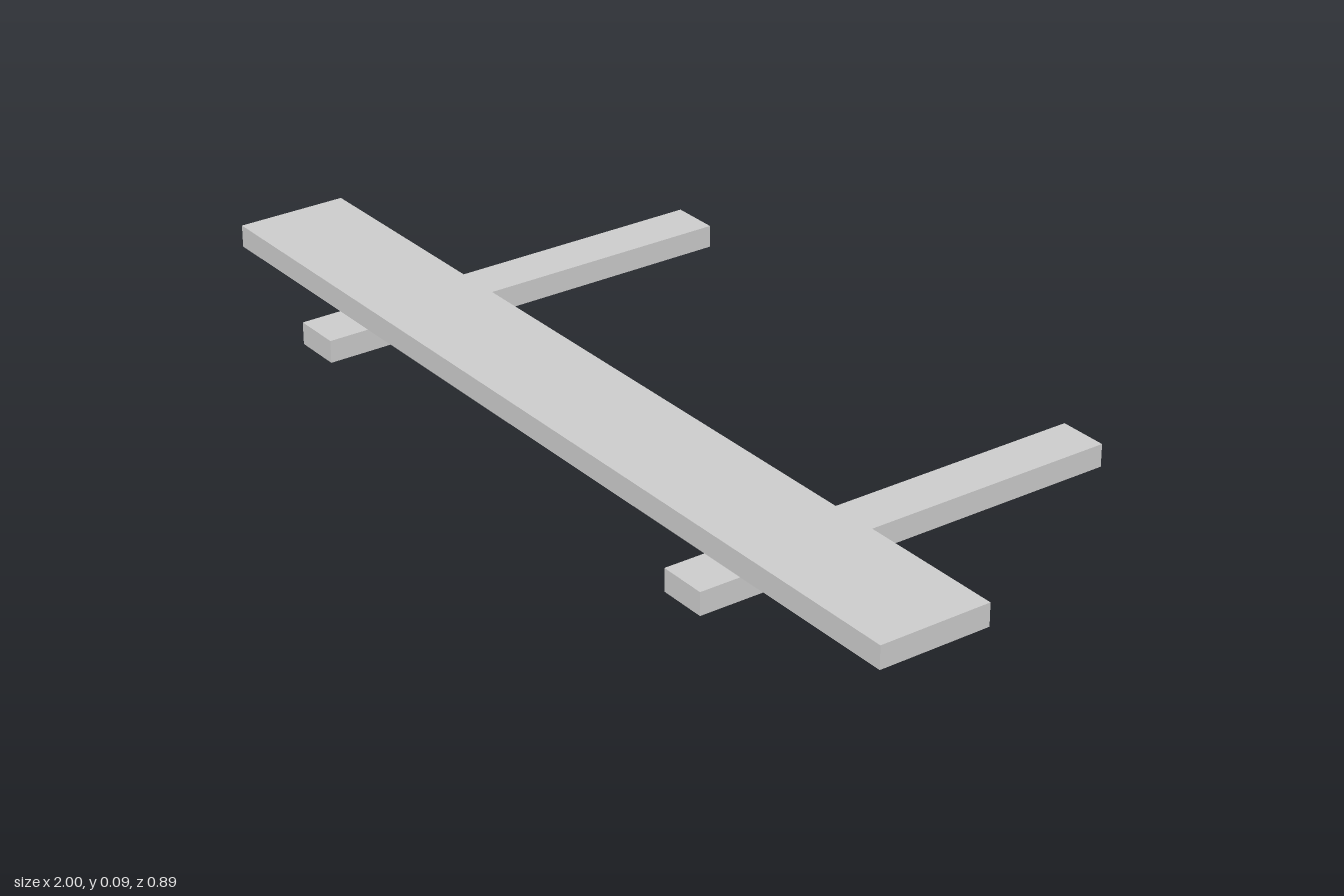
import * as THREE from 'three';

export function createModel() {
  const model = new THREE.Group();
  model.name = 'plankOnRails';
  const material = new THREE.MeshStandardMaterial({ color: 0xcccccc, flatShading: true });

  const addBoard = (name, size, position) => {
    const mesh = new THREE.Mesh(new THREE.BoxGeometry(...size), material);
    mesh.name = name;
    mesh.position.set(...position);
    model.add(mesh);
  };

  const thickness = 0.0455;

  // Two parallel rails lying on the ground
  for (const side of [-1, 1]) {
    addBoard(side > 0 ? 'leftRail' : 'rightRail', [0.1, thickness, 0.886], [side * 0.583, thickness / 2, 0]);
  }

  // Long plank laid across the rails, towards the front
  addBoard('crossPlank', [2, thickness, 0.228], [0, thickness * 1.5, 0.246]);

  return model;
}
